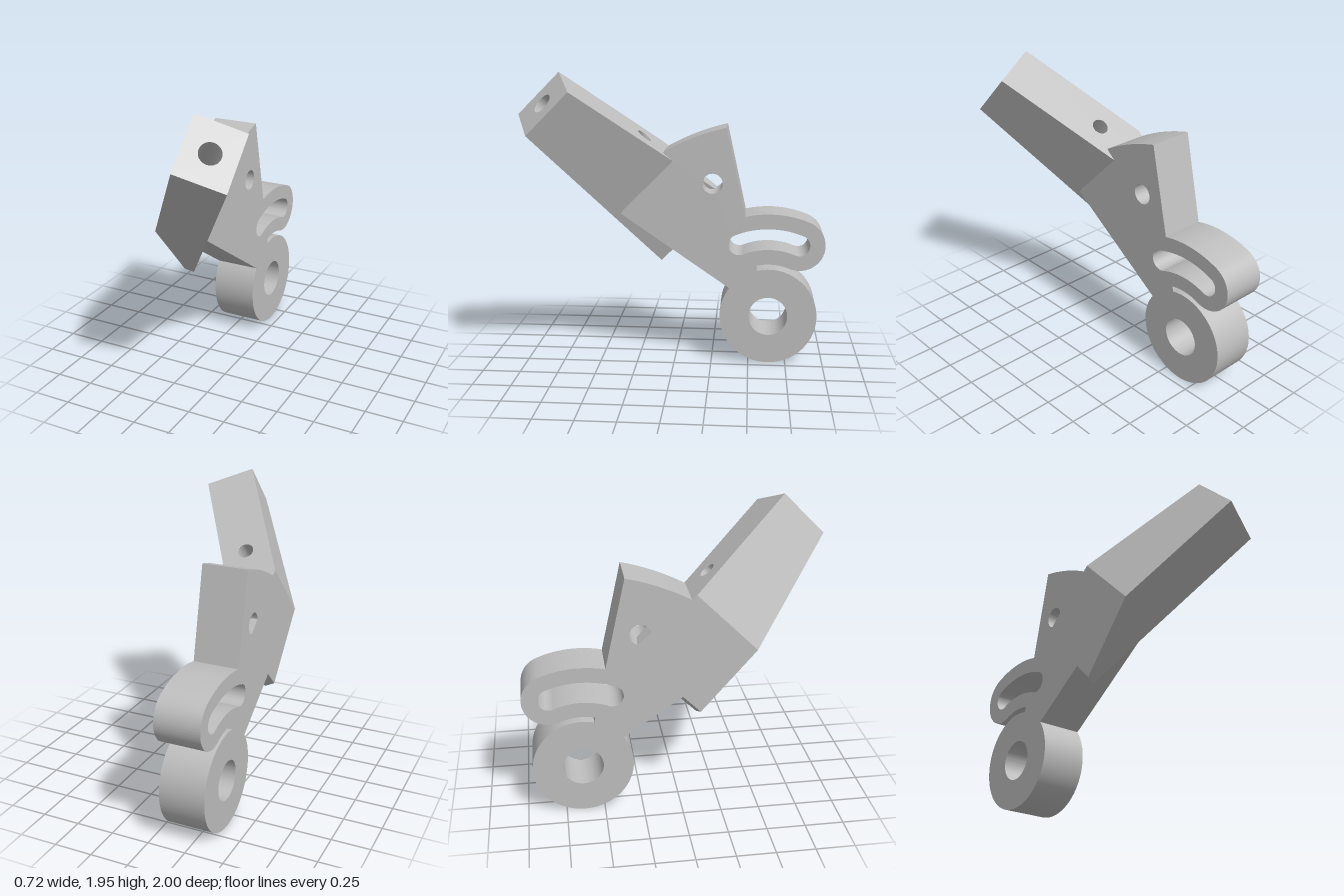
import * as THREE from 'three';
import { toCreasedNormals } from 'three/addons/utils/BufferGeometryUtils.js';

const metal = new THREE.MeshStandardMaterial({ color: 0xbebebe });
metal.name = 'plain grey';

const V = (x, y, z) => new THREE.Vector3(x, y, z);
const LEFT = -0.36, THICK = 0.3;

function mesh(name, geometry) {
  const m = new THREE.Mesh(geometry, metal);
  m.name = name;
  return m;
}

// Flat bracket with ring, curved slot and bolt hole (shape x runs toward the back)
function bracketPlate() {
  const cx = 0.63, cy = 0.33;
  const rad = THREE.MathUtils.degToRad;
  const arc = (p, x, y, r, a, b, cw = false) => p.absarc(x, y, r, rad(a), rad(b), cw);
  const onArc = (a) => [cx + 0.53 * Math.cos(rad(a)), cy + 0.53 * Math.sin(rad(a))];
  const a0 = 67.8, a1 = 112.2;

  const s = new THREE.Shape();
  s.moveTo(0.34, 1.6);
  s.quadraticCurveTo(0.125, 1.55, -0.07, 1.44);
  s.lineTo(-0.36, 1.02);
  s.lineTo(0.37, 0.52);
  arc(s, cx, cy, 0.325, 143.8, 464);       // ring
  arc(s, cx, cy, 0.36, 104, a0, true);     // slit above the ring
  arc(s, ...onArc(a0), 0.17, a0 + 180, a0 + 360); // rounded lobe
  arc(s, cx, cy, 0.7, a0, 103.2);          // outer band
  s.closePath();

  const slot = new THREE.Path();
  arc(slot, cx, cy, 0.6, a0, a1);
  arc(slot, ...onArc(a1), 0.07, a1, a1 + 180);
  arc(slot, cx, cy, 0.46, a1, a0, true);
  arc(slot, ...onArc(a0), 0.07, a0 + 180, a0 + 360);

  const ringHole = new THREE.Path(), boltHole = new THREE.Path();
  arc(ringHole, cx, cy, 0.13, 0, 360);
  arc(boltHole, 0.25, 1.23, 0.067, 0, 360);
  s.holes.push(slot, ringHole, boltHole);

  const g = new THREE.ExtrudeGeometry(s, { depth: THICK, bevelEnabled: false, curveSegments: 40 });
  g.rotateY(Math.PI / 2).translate(LEFT, 0, 0);
  return mesh('bracketPlate', toCreasedNormals(g, 0.5));
}

// Flat face of the arm, turned away from the arm's middle, with an optional blind bore
function facet(name, points, middle, bore) {
  const group = new THREE.Group();
  group.name = name;
  const [p0, p1, p2] = points;
  const e1 = p1.clone().sub(p0).normalize();
  const n = e1.clone().cross(p2.clone().sub(p0)).normalize();
  if (n.dot(p0.clone().sub(middle)) < 0) n.negate();
  const e2 = n.clone().cross(e1);
  const flat = (p) => {
    const d = p.clone().sub(p0);
    return new THREE.Vector2(d.dot(e1), d.dot(e2));
  };
  const shape = new THREE.Shape(points.map(flat));
  const frame = new THREE.Matrix4().makeBasis(e1, e2, n).setPosition(p0);
  if (bore) {
    const c = flat(bore.at);
    shape.holes.push(new THREE.Path().absarc(c.x, c.y, bore.r, 0, Math.PI * 2));
    // wall and floor facing inward
    const wall = new THREE.LatheGeometry([
      new THREE.Vector2(bore.r, 0),
      new THREE.Vector2(bore.r, -bore.depth),
      new THREE.Vector2(0, -bore.depth),
    ], 32);
    wall.rotateX(Math.PI / 2).translate(c.x, c.y, 0).applyMatrix4(frame);
    group.add(mesh(name + 'Bore', toCreasedNormals(wall, 0.5)));
  }
  group.add(mesh(name + 'Surface', new THREE.ShapeGeometry(shape, 32).applyMatrix4(frame)));
  return group;
}

// Slanted arm: a bar widening toward its root, cut off flush with the plate's outer side
function slantedArm() {
  const arm = new THREE.Group();
  arm.name = 'slantedArm';
  const across = V(0.285, -0.11, -0.11);
  const upper = V(-0.43, -0.49, -0.63), lower = V(-0.43, -0.61, -0.51);
  const along = (p, d, t) => p.clone().addScaledVector(d, t);

  const A = V(0.07, 1.96, 0.73), D = V(0.07, 1.69, 1.0);   // tip corners
  const B = A.clone().add(across), C = D.clone().add(across);
  const A1 = along(A, upper, 1), D1 = along(D, lower, 1);  // flush cut
  const B2 = along(B, upper, 1.53), C2 = along(C, lower, 1.53); // root corners
  const k = (LEFT - B2.x) / across.x;
  const F = along(B2, across, k), E = along(C2, across, k);

  const all = [A, B, C, D, A1, D1, B2, C2, E, F];
  const middle = all.reduce((m, p) => m.add(p), V(0, 0, 0)).divideScalar(all.length);
  const tipMid = A.clone().add(C).multiplyScalar(0.5);
  const topMid = along(along(A, across, 0.5), upper, 0.75);

  arm.add(
    facet('armTip', [A, B, C, D], middle, { at: tipMid, r: 0.068, depth: 0.6 }),
    facet('armTop', [A, B, B2, F, A1], middle, { at: topMid, r: 0.052, depth: 0.2 }),
    facet('armUnderside', [D, C, C2, E, D1], middle),
    facet('armInnerSide', [B, C, C2, B2], middle),
    facet('armOuterSide', [A, D, D1, A1], middle),
    facet('armFlushCut', [A1, D1, E, F], middle),
    facet('armRoot', [B2, C2, E, F], middle),
  );
  return arm;
}

export function createModel() {
  const model = new THREE.Group();
  model.name = 'angledBracket';
  model.add(bracketPlate(), slantedArm());
  return model;
}
